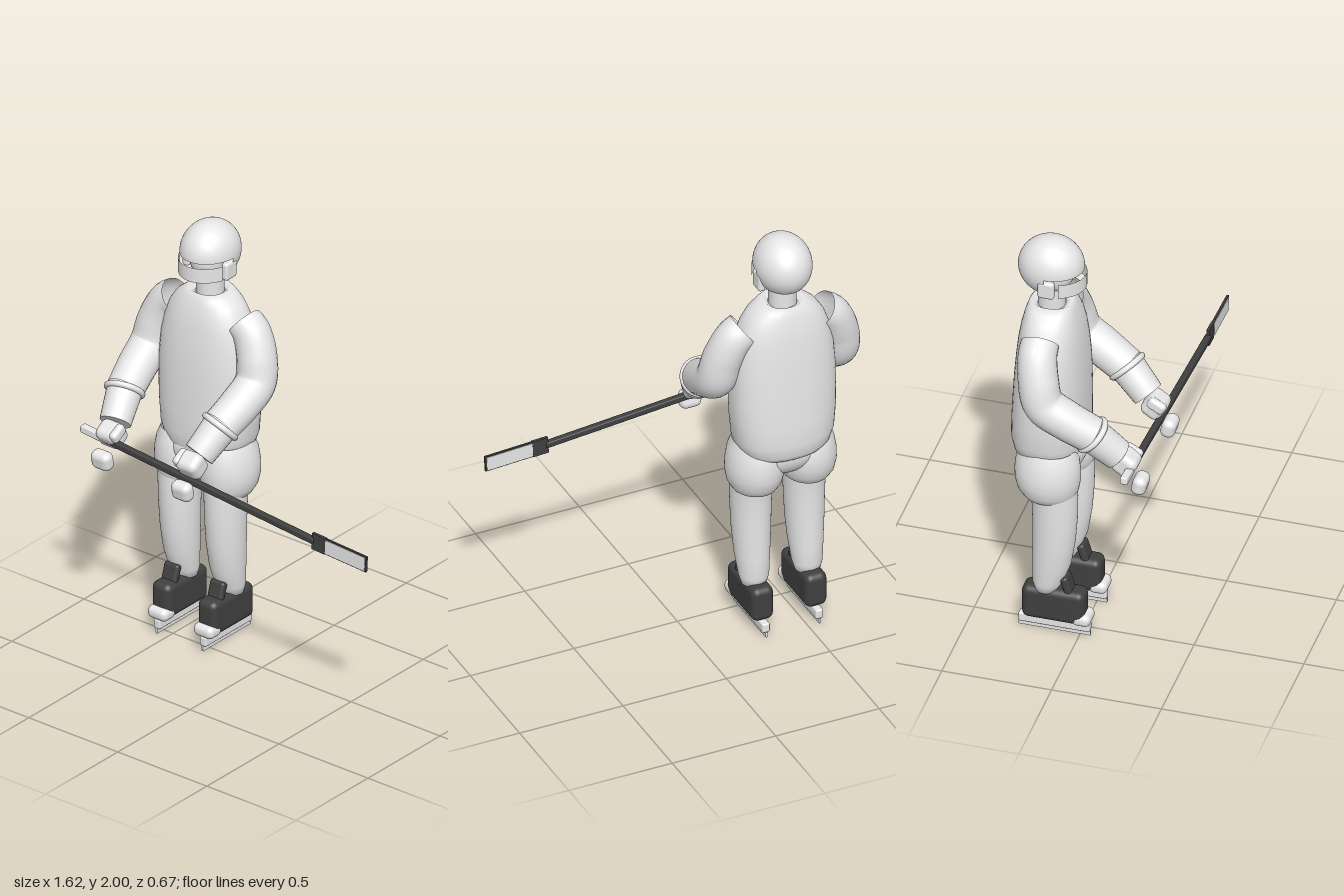
import * as THREE from 'three';
import { RoundedBoxGeometry } from 'three/addons/geometries/RoundedBoxGeometry.js';

const CX = -0.427; // body centre line
const V = (x, y, z) => new THREE.Vector3(x, y, z);

const light = new THREE.MeshStandardMaterial({ color: 0xeeeeee, side: THREE.DoubleSide });
light.name = 'light grey';
const dark = new THREE.MeshStandardMaterial({ color: 0x404040 });
dark.name = 'dark grey';

function add(group, name, geo, mat, x = 0, y = 0, z = 0) {
  const m = new THREE.Mesh(geo, mat);
  m.name = name;
  m.position.set(x, y, z);
  group.add(m);
  return m;
}

const rbox = (w, h, d, r) => new RoundedBoxGeometry(w, h, d, 4, r);

function ellipsoid(rx, ry, rz, ...args) {
  return new THREE.SphereGeometry(1, 40, 24, ...args).scale(rx, ry, rz);
}

// Skin over rounded sections [y, rx, rz, cz] from bottom to top; power < 1 makes them boxier
function loft(rows, power = 1, seg = 48) {
  const pos = [], idx = [];
  const bend = v => Math.sign(v) * Math.abs(v) ** power;
  for (const [y, rx, rz, cz] of rows)
    for (let j = 0; j < seg; j++) {
      const a = (j / seg) * Math.PI * 2;
      pos.push(bend(Math.sin(a)) * rx, y, cz + bend(Math.cos(a)) * rz);
    }
  for (let i = 0; i < rows.length - 1; i++)
    for (let j = 0; j < seg; j++) {
      const a = i * seg + j, b = i * seg + ((j + 1) % seg);
      idx.push(a, b, b + seg, a, b + seg, a + seg);
    }
  const g = new THREE.BufferGeometry();
  g.setAttribute('position', new THREE.Float32BufferAttribute(pos, 3));
  g.setIndex(idx);
  g.computeVertexNormals();
  return g;
}

// Tube whose radius follows a function of t
function taperTube(points, radius, n = 32, seg = 24) {
  const curve = new THREE.CatmullRomCurve3(points);
  const g = new THREE.TubeGeometry(curve, n, 1, seg);
  const p = g.attributes.position, v = V(0, 0, 0);
  for (let i = 0; i <= n; i++) {
    const c = curve.getPointAt(i / n);
    for (let j = 0; j <= seg; j++) {
      const k = i * (seg + 1) + j;
      v.fromBufferAttribute(p, k).sub(c).multiplyScalar(radius(i / n)).add(c);
      p.setXYZ(k, v.x, v.y, v.z);
    }
  }
  return g;
}

function buildHead() {
  const g = new THREE.Group();
  g.name = 'head';
  add(g, 'face', ellipsoid(0.083, 0.1, 0.092), light, CX, 1.83, -0.16);
  add(g, 'neck', new THREE.CylinderGeometry(0.062, 0.062, 0.18, 32), light, CX, 1.71, -0.168);
  // Helmet dome, with a lower half at the back only
  add(g, 'helmetDome', ellipsoid(0.128, 0.14, 0.148, 0, Math.PI * 2, 0, 1.6), light, CX, 1.86, -0.17);
  add(g, 'helmetBack', ellipsoid(0.128, 0.14, 0.148, Math.PI, Math.PI, 1.58, 0.76), light, CX, 1.86, -0.17);
  const visor = new THREE.CylinderGeometry(1, 1, 0.07, 24, 1, true, -1.15, 2.3).scale(0.13, 1, 0.158);
  add(g, 'visor', visor, light, CX, 1.802, -0.17);
  for (const s of [-1, 1])
    add(g, 'earGuard', rbox(0.035, 0.085, 0.075, 0.014), light, CX + s * 0.11, 1.798, -0.163);
  return g;
}

function buildLeg(s) {
  const g = new THREE.Group();
  g.name = s < 0 ? 'rightLeg' : 'leftLeg';
  const x = CX + s * 0.129;
  add(g, 'hip', loft([
    [0.695, 0.03, 0.03, -0.14], [0.705, 0.075, 0.085, -0.14], [0.725, 0.1, 0.115, -0.143],
    [0.76, 0.12, 0.135, -0.147], [0.81, 0.129, 0.146, -0.149], [0.86, 0.127, 0.147, -0.15],
    [0.92, 0.116, 0.14, -0.15], [0.97, 0.095, 0.12, -0.15],
  ]), light, CX + s * 0.126);
  add(g, 'leg', loft([
    [0.21, 0.03, 0.03, -0.155], [0.22, 0.058, 0.05, -0.153], [0.26, 0.068, 0.068, -0.148],
    [0.36, 0.078, 0.086, -0.13], [0.48, 0.086, 0.095, -0.12], [0.6, 0.09, 0.1, -0.116],
    [0.72, 0.094, 0.103, -0.117], [0.84, 0.098, 0.11, -0.13],
  ]), light, x);
  // Skate
  add(g, 'boot', rbox(0.105, 0.168, 0.285, 0.032), dark, x, 0.151, -0.116);
  add(g, 'bootTongue', rbox(0.08, 0.13, 0.035, 0.014), dark, x, 0.24, -0.052).rotation.x = -0.3;
  add(g, 'toeCap', rbox(0.108, 0.06, 0.085, 0.027), light, x, 0.094, 0.012);
  add(g, 'bladeHolder', rbox(0.037, 0.045, 0.325, 0.008), light, x, 0.045, -0.117);
  add(g, 'skateBlade', new THREE.BoxGeometry(0.01, 0.026, 0.328), light, x, 0.013, -0.118);
  return g;
}

function buildArm(s) {
  const g = new THREE.Group();
  g.name = s < 0 ? 'rightArm' : 'leftArm';
  const P = (d, y, z) => V(CX + s * d, y, z);
  const pts = [P(0.188, 1.563, -0.167), P(0.232, 1.53, -0.165), P(0.278, 1.43, -0.148),
    P(0.295, 1.32, -0.118), P(0.288, 1.25, -0.02), P(0.268, 1.18, 0.095)];
  add(g, 'sleeve', taperTube(pts, t => 0.084 + 0.007 * Math.sin(t * Math.PI)), light);
  // Glove cuff and its rim, aimed along the forearm
  const a = P(0.268, 1.18, 0.095), b = P(0.235, 1.075, 0.2);
  const dir = b.clone().sub(a);
  const cuff = add(g, 'gloveCuff', new THREE.CylinderGeometry(0.071, 0.08, dir.length(), 28), light);
  cuff.position.copy(a).lerp(b, 0.5);
  dir.normalize();
  cuff.quaternion.setFromUnitVectors(V(0, 1, 0), dir);
  const rim = add(g, 'cuffRim', new THREE.TorusGeometry(0.08, 0.014, 12, 36), light);
  rim.position.copy(a);
  rim.quaternion.setFromUnitVectors(V(0, 0, 1), dir);
  // Hand around the stick
  add(g, 'palm', rbox(0.115, 0.108, 0.1, 0.032), light, CX + s * 0.225, 1.037, 0.238).rotation.x = 0.6;
  add(g, 'fingers', rbox(0.102, 0.09, 0.066, 0.03), light, CX + s * 0.225, 0.935, 0.302).rotation.x = 0.2;
  add(g, 'thumb', rbox(0.04, 0.055, 0.085, 0.018), light, CX + s * 0.178, 1.062, 0.255).rotation.x = 0.5;
  return g;
}

function buildStick() {
  const g = new THREE.Group();
  g.name = 'stick';
  const a = V(-0.795, 1.032, 0.266), b = V(0.51, 0.912, 0.266);
  const angle = Math.atan2(b.y - a.y, b.x - a.x);
  const bar = (name, t0, t1, h, mat) => {
    const p = a.clone().lerp(b, t0), q = a.clone().lerp(b, t1);
    const m = add(g, name, rbox(p.distanceTo(q), h, h, 0.006), mat);
    m.position.copy(p).lerp(q, 0.5);
    m.rotation.z = angle;
  };
  bar('buttEnd', 0, 0.09, 0.034, light);
  bar('shaft', 0.08, 1, 0.029, dark);
  // Dark blade with light tape on both faces
  const blade = new THREE.Group();
  blade.name = 'blade';
  blade.position.set(0.652, 0.903, 0.266);
  blade.rotation.z = -0.055;
  add(blade, 'bladeCore', new THREE.BoxGeometry(0.305, 0.077, 0.01), dark);
  add(blade, 'bladeHeel', new THREE.BoxGeometry(0.075, 0.08, 0.014), dark, -0.115);
  for (const s of [-1, 1])
    add(blade, 'bladeTape', new THREE.BoxGeometry(0.222, 0.067, 0.003), light, 0.034, 0, s * 0.006);
  g.add(blade);
  return g;
}

export function createModel() {
  const model = new THREE.Group();
  model.name = 'hockeyPlayer';
  model.add(buildHead());
  add(model, 'torso', loft([
    [0.9, 0.001, 0.001, -0.165], [0.902, 0.14, 0.11, -0.165], [0.915, 0.185, 0.145, -0.165],
    [0.94, 0.21, 0.158, -0.167], [1.0, 0.23, 0.167, -0.168], [1.1, 0.24, 0.165, -0.167],
    [1.2, 0.244, 0.161, -0.165], [1.32, 0.242, 0.156, -0.163], [1.43, 0.233, 0.147, -0.163],
    [1.52, 0.214, 0.137, -0.164], [1.58, 0.192, 0.126, -0.165], [1.63, 0.16, 0.113, -0.166],
    [1.66, 0.122, 0.102, -0.167], [1.68, 0.086, 0.09, -0.167], [1.66, 0.062, 0.062, -0.167],
  ], 0.85), light, CX);
  add(model, 'pelvis', ellipsoid(0.23, 0.13, 0.143), light, CX, 0.905, -0.15);
  for (const s of [-1, 1]) model.add(buildLeg(s), buildArm(s));
  model.add(buildStick());
  return model;
}
